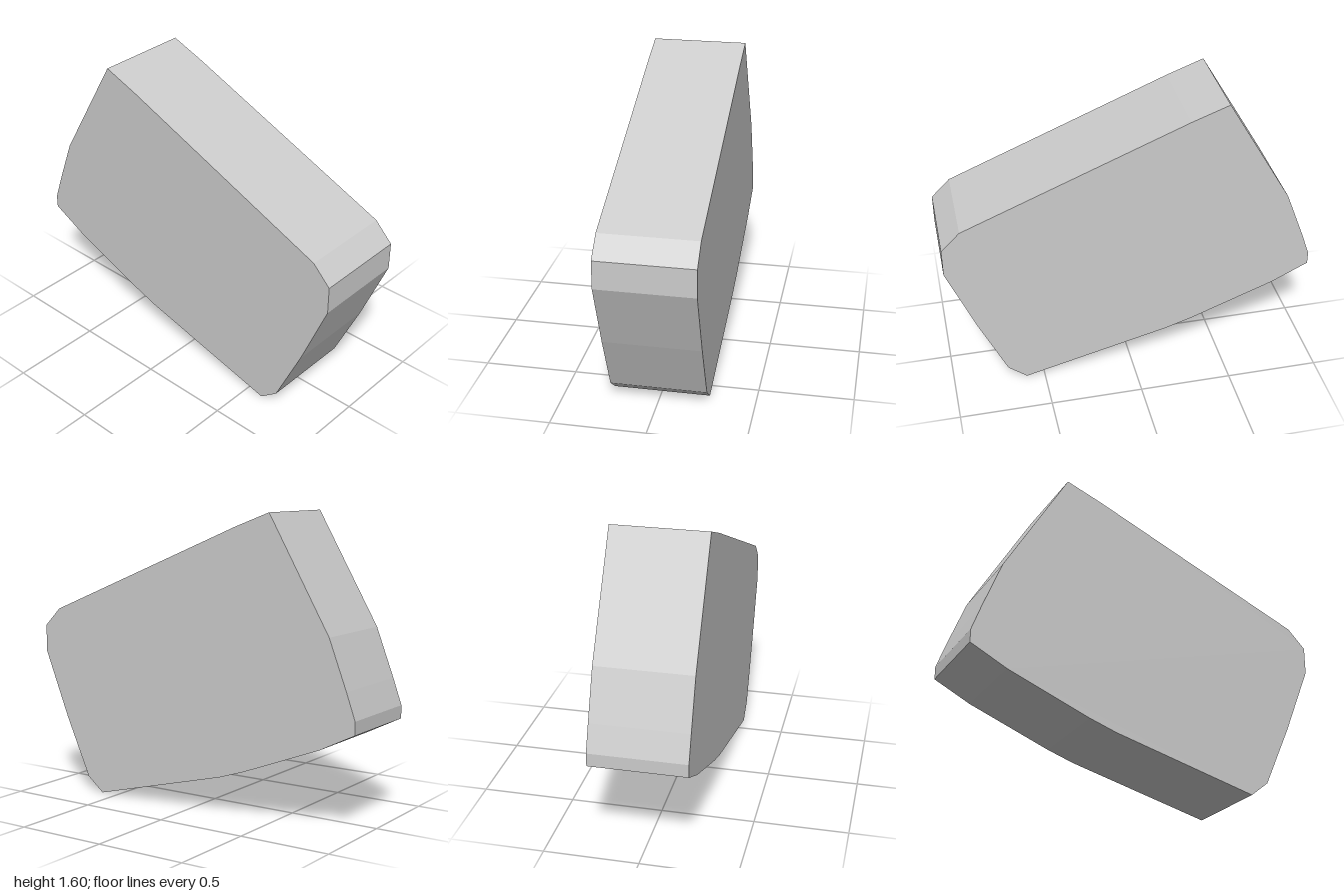
import * as THREE from 'three';

const DEPTH = 0.51;

// Tilted slab outline, counter-clockwise from the lowest corner
const OUTLINE = [
  [0.6, 0], [0.7, 0.08], [0.85, 0.41], [1, 0.78], [1, 0.93], [0.9, 1.03],
  [-0.3, 1.525], [-0.5, 1.6], [-0.85, 1.0], [-0.95, 0.74], [-1, 0.6],
  [-1, 0.53], [-0.8, 0.43], [-0.35, 0.255], [-0.2, 0.205],
];

export function createModel() {
  const group = new THREE.Group();
  group.name = 'stoneSlab';

  // Faceted block with straight sides, centred front to back
  const shape = new THREE.Shape(OUTLINE.map(([x, y]) => new THREE.Vector2(x, y)));
  const geometry = new THREE.ExtrudeGeometry(shape, { depth: DEPTH, bevelEnabled: false });
  geometry.translate(0, 0, -DEPTH / 2);

  const material = new THREE.MeshStandardMaterial({ color: 0xcccccc, flatShading: true });
  const slab = new THREE.Mesh(geometry, material);
  slab.name = 'slab';
  group.add(slab);
  return group;
}
